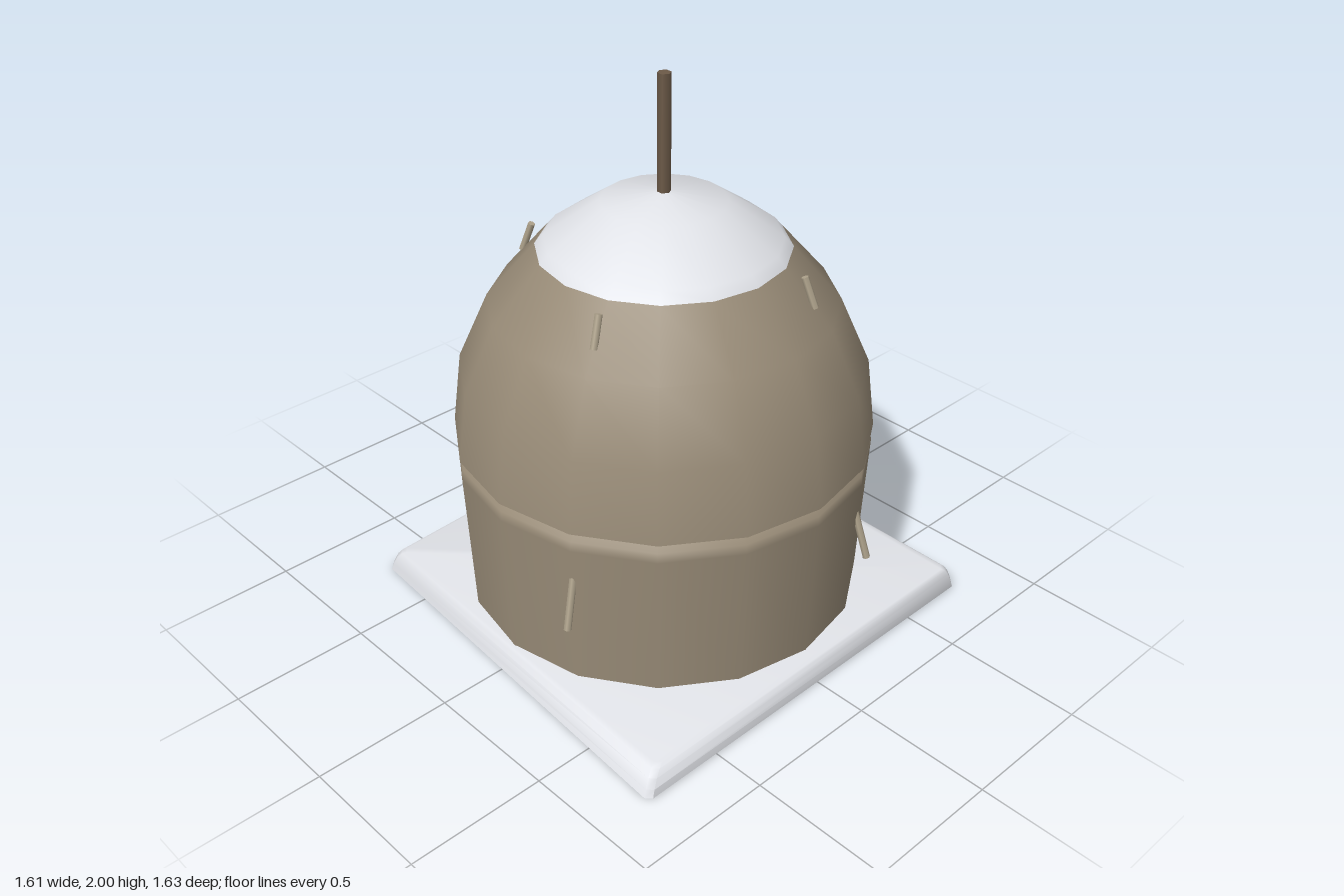
import * as THREE from 'three';
import { toCreasedNormals } from 'three/addons/utils/BufferGeometryUtils.js';

const SIDES = 16;
const mat = (name, color) => {
  const m = new THREE.MeshStandardMaterial({ color });
  m.name = name;
  return m;
};

export function createModel() {
  const stone = mat('brown shell', 0x988b77);
  const pale = mat('pale grey', 0xe0e2e7);
  const darkWood = mat('dark wood', 0x6c5a48);
  const pegWood = mat('peg wood', 0xb0a48d);

  const model = new THREE.Group();
  model.name = 'domedHut';
  const body = new THREE.Group();
  body.name = 'body';
  body.position.set(0.015, 0, 0.012);
  model.add(body);

  const add = (parent, name, geometry, material) => {
    const mesh = new THREE.Mesh(geometry, material);
    mesh.name = name;
    parent.add(mesh);
    return mesh;
  };
  const lathe = (points) =>
    new THREE.LatheGeometry(points.map(([r, y]) => new THREE.Vector2(r, y)), SIDES);

  // Uneven base slab: stacked loops running from the wide foot to the narrower top
  const foot = [[0.78, 0.80], [0.80, -0.82], [-0.70, -0.75], [-0.81, 0.81]];
  const rim = [[0.74, 0.77], [0.745, -0.77], [-0.66, -0.70], [-0.735, 0.775]];
  const levels = [[0.004, 0], [0.03, 0.15], [0.06, 0.4], [0.08, 0.7], [0.088, 1]];
  const cutCorners = (corners) => corners.flatMap(([x, z], i) =>
    [corners[(i + 3) % 4], corners[(i + 1) % 4]].map(([nx, nz]) =>
      [x + (nx - x) * 0.013, z + (nz - z) * 0.013]));
  const loops = levels.map(([y, t]) => cutCorners(foot.map(([x, z], i) =>
    [x + (rim[i][0] - x) * t, z + (rim[i][1] - z) * t])).map(([x, z]) => [x, y, z]));
  const tris = [];
  const tri = (a, b, c) => tris.push(...a, ...b, ...c);
  const n = loops[0].length;
  for (let k = 0; k < loops.length - 1; k++) {
    for (let i = 0; i < n; i++) {
      const j = (i + 1) % n;
      tri(loops[k][i], loops[k][j], loops[k + 1][j]);
      tri(loops[k][i], loops[k + 1][j], loops[k + 1][i]);
    }
  }
  const top = loops[loops.length - 1];
  for (let i = 1; i < n - 1; i++) {
    tri(top[0], top[i], top[i + 1]);
    tri(loops[0][0], loops[0][i + 1], loops[0][i]);
  }
  const slab = new THREE.BufferGeometry();
  slab.setAttribute('position', new THREE.Float32BufferAttribute(tris, 3));
  add(model, 'baseSlab', toCreasedNormals(slab, 0.8), pale);

  // Drum wall with a rounded shoulder, its lid and its underside
  add(body, 'drumWall', lathe([[0.712, 0], [0.715, 0.09], [0.742, 0.63], [0.738, 0.665], [0.705, 0.688]]), stone);
  const lid = add(body, 'drumLid', new THREE.CircleGeometry(0.705, SIDES), stone);
  lid.rotation.x = -Math.PI / 2;
  lid.position.y = 0.688;
  const floor = add(body, 'drumUnderside', new THREE.CircleGeometry(0.70, SIDES), stone);
  floor.rotation.x = Math.PI / 2;

  // Dome, the pale underside of its overhang, and the pale cap
  add(body, 'dome', lathe([[0.745, 0.70], [0.712, 0.96], [0.605, 1.20], [0.435, 1.395]]), stone);
  add(body, 'domeCap', lathe([[0.435, 1.395], [0.405, 1.43], [0.215, 1.56], [0, 1.595]]), pale);
  const lip = add(body, 'domeUnderside', new THREE.RingGeometry(0.6, 0.745, SIDES), pale);
  lip.rotation.x = Math.PI / 2;
  lip.position.y = 0.70;

  // Mast
  const mast = add(body, 'mast', new THREE.CylinderGeometry(0.024, 0.024, 0.43, 6), darkWood);
  mast.position.y = 1.785;

  // Four leaning pegs around the dome and four around the drum
  const addPeg = (name, angle, rTop, yTop, rLow, yLow) => {
    const at = (r, y) => new THREE.Vector3(r * Math.sin(angle), y, r * Math.cos(angle));
    const a = at(rLow, yLow), b = at(rTop, yTop);
    const dir = b.clone().sub(a);
    const peg = add(body, name, new THREE.CylinderGeometry(0.013, 0.013, dir.length(), 6), pegWood);
    peg.position.copy(a).add(b).multiplyScalar(0.5);
    peg.quaternion.setFromUnitVectors(new THREE.Vector3(0, 1, 0), dir.normalize());
  };
  for (let i = 0; i < 4; i++) {
    const angle = Math.PI / 8 + i * Math.PI / 2;
    addPeg('domePeg', angle, 0.50, 1.378, 0.54, 1.272);
    addPeg('drumPeg', angle, 0.725, 0.515, 0.778, 0.335);
  }
  return model;
}
